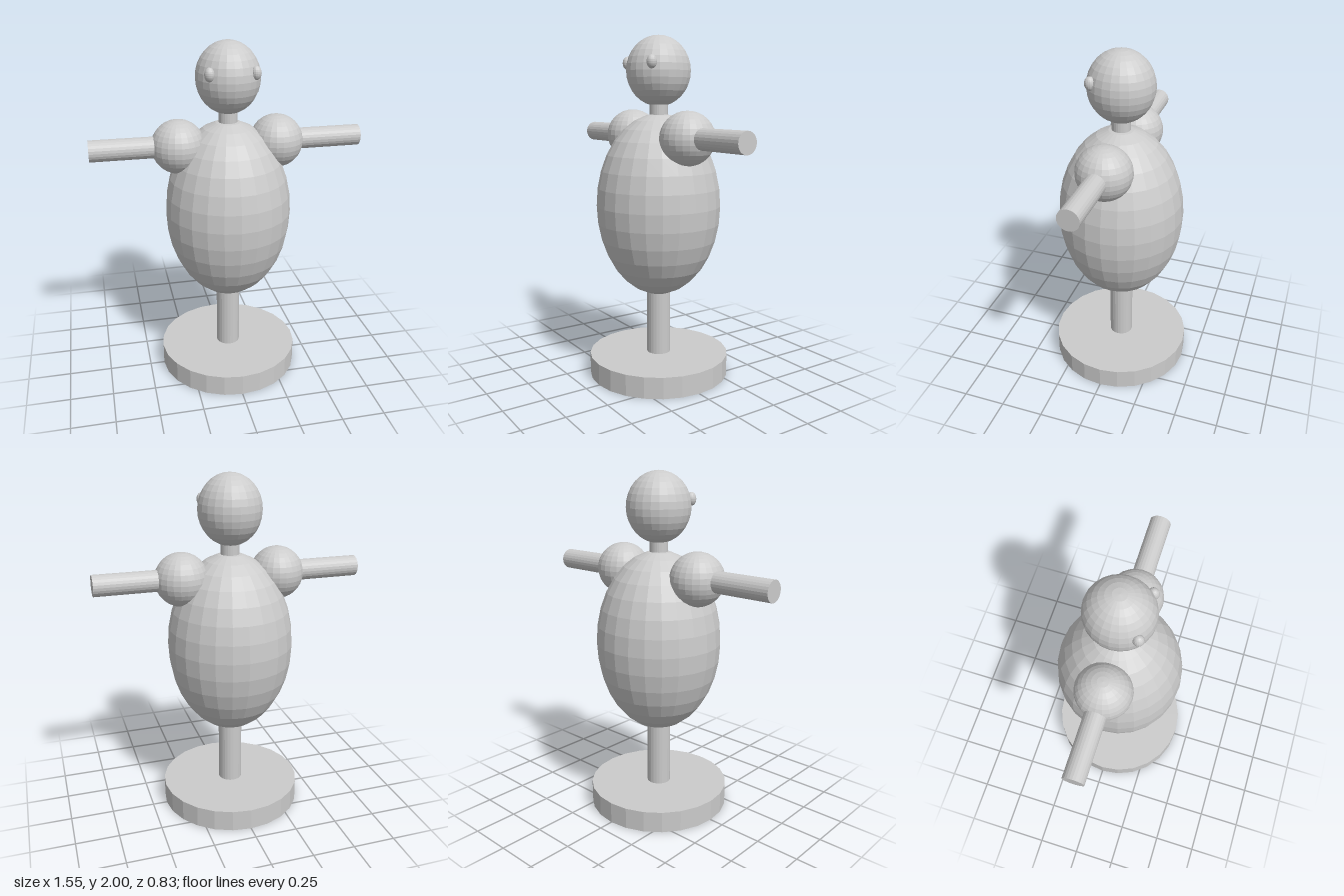
import * as THREE from 'three';

const material = new THREE.MeshStandardMaterial({ color: 0xcccccc, flatShading: true });

export function createModel() {
  const group = new THREE.Group();

  const add = (name, geometry, x, y, z) => {
    const mesh = new THREE.Mesh(geometry, material);
    mesh.name = name;
    mesh.position.set(x, y, z);
    group.add(mesh);
    return mesh;
  };
  const ellipsoid = (rx, ry, rz, sides = 24, rings = 16) =>
    new THREE.SphereGeometry(1, sides, rings).scale(rx, ry, rz);
  // Upright cylinder between two heights
  const post = (name, r, y0, y1) =>
    add(name, new THREE.CylinderGeometry(r, r, y1 - y0, 24), 0, (y0 + y1) / 2, 0);

  // Stand
  post('base', 0.415, 0, 0.125);
  post('pole', 0.07, 0.12, 0.56);

  // Body, neck and head
  add('body', ellipsoid(0.364, 0.535, 0.364), 0, 1.025, 0);
  post('neck', 0.053, 1.5, 1.66);
  add('head', ellipsoid(0.18, 0.2, 0.188), 0, 1.8, 0);

  // Shoulders, arms and eyes on both sides
  for (const [side, s] of [['left', 1], ['right', -1]]) {
    add(side + 'Shoulder', ellipsoid(0.152, 0.152, 0.157), s * 0.283, 1.427, 0);
    const arm = new THREE.CylinderGeometry(0.06, 0.06, 0.475, 24).rotateZ(Math.PI / 2);
    add(side + 'Arm', arm, s * 0.538, 1.43, 0);
    add(side + 'Eye', ellipsoid(0.028, 0.038, 0.03, 16, 12), s * 0.126, 1.843, 0.129);
  }

  return group;
}
